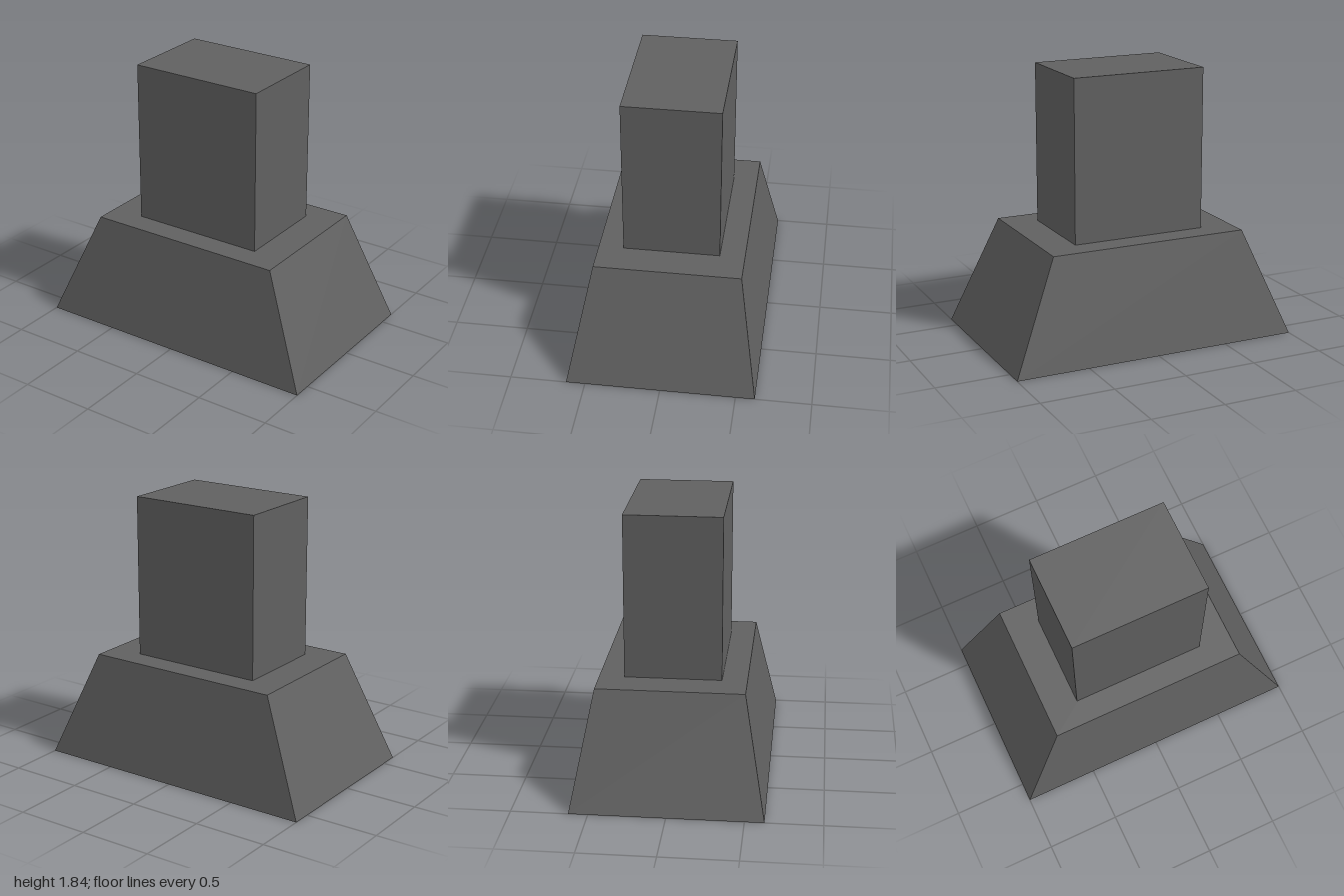
import * as THREE from 'three';

// Rectangular ring of four corners, starting front and -x
const ring = (y, halfX, zFront, zBack) => [
  [-halfX, y, zFront], [halfX, y, zFront], [halfX, y, zBack], [-halfX, y, zBack],
];

// Skins successive rings with flat quads and closes both ends
function loftRings(rings) {
  const positions = [];
  const quad = (a, b, c, d) => positions.push(...a, ...b, ...c, ...a, ...c, ...d);
  for (let r = 0; r < rings.length - 1; r++) {
    for (let i = 0; i < 4; i++) {
      const j = (i + 1) % 4;
      quad(rings[r][i], rings[r][j], rings[r + 1][j], rings[r + 1][i]);
    }
  }
  quad(...[...rings[0]].reverse());
  quad(...rings[rings.length - 1]);
  const geometry = new THREE.BufferGeometry();
  geometry.setAttribute('position', new THREE.Float32BufferAttribute(positions, 3));
  geometry.computeVertexNormals();
  return geometry;
}

export function createModel() {
  const model = new THREE.Group();
  model.name = 'extractorHood';

  const darkGrey = new THREE.MeshStandardMaterial({ color: 0x606060 });
  darkGrey.name = 'darkGrey';

  // Flared canopy: recess ceiling, recess mouth, outer rim, top
  const canopy = new THREE.Mesh(loftRings([
    ring(0.41, 0.65, 0.335, -0.335),
    ring(0, 0.82, 0.42, -0.42),
    ring(0, 1, 0.627, -0.627),
    ring(0.74, 0.686, 0.479, -0.493),
  ]), darkGrey);
  canopy.name = 'canopy';
  model.add(canopy);

  // Straight duct cover standing on the canopy
  const chimney = new THREE.Mesh(new THREE.BoxGeometry(0.926, 1.096, 0.641), darkGrey);
  chimney.name = 'chimney';
  chimney.position.set(-0.001, 0.74 + 0.548, -0.007);
  model.add(chimney);

  return model;
}
